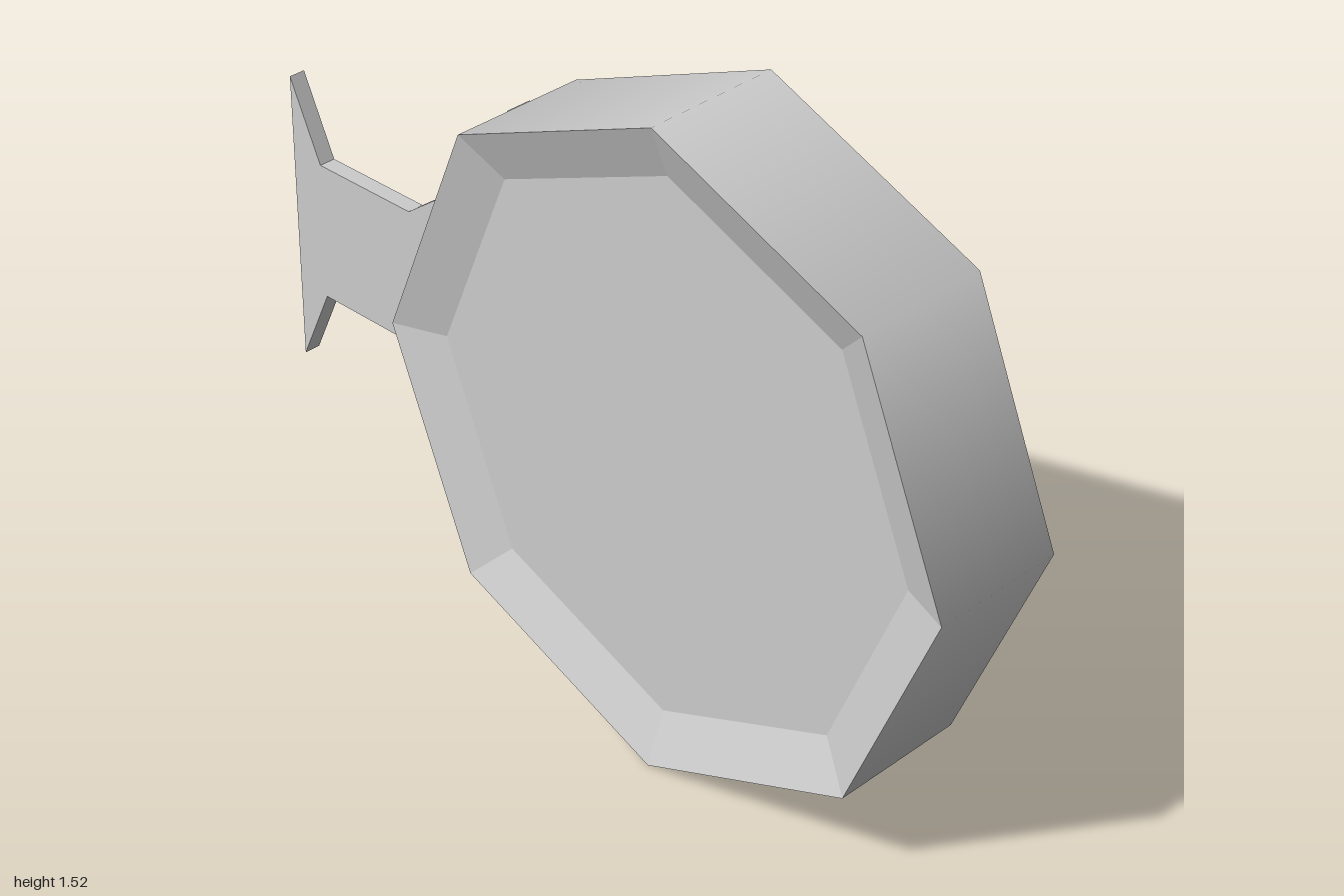
import * as THREE from 'three';

const R = 0.761, INNER = 0.64, HALF = 0.165, RECESS = 0.045;
const CX = 0.239, CY = 0.761;

export function createModel() {
  const group = new THREE.Group();
  const smooth = new THREE.MeshStandardMaterial({ color: 0xcccccc });
  const flat = new THREE.MeshStandardMaterial({ color: 0xcccccc, flatShading: true });

  const add = (name, geometry, material) => {
    const mesh = new THREE.Mesh(geometry, material);
    mesh.name = name;
    group.add(mesh);
    return mesh;
  };

  // Eight-sided lathe turned so that its axis runs along z
  const octagon = (profile) =>
    new THREE.LatheGeometry(profile.map(([r, z]) => new THREE.Vector2(r, z)), 8)
      .rotateX(Math.PI / 2)
      .translate(CX, CY, 0);

  // Drum: smooth wall, with a bevelled rim and sunken panel on both faces
  const floor = HALF - RECESS;
  add('drumWall', octagon([[R, -HALF], [R, HALF]]), smooth);
  add('frontRim', octagon([[R, HALF], [INNER, floor]]), flat);
  add('frontPanel', octagon([[INNER, floor], [0, floor]]), flat);
  add('backRim', octagon([[INNER, -floor], [R, -HALF]]), flat);
  add('backPanel', octagon([[0, -floor], [INNER, -floor]]), flat);

  // Flat mounting strips on the two wall sides that meet the handle
  const side = 2 * R * Math.sin(Math.PI / 8);
  const apothem = R * Math.cos(Math.PI / 8);
  for (const s of [1, -1]) {
    const angle = Math.PI - s * Math.PI / 8;
    const strip = add(s > 0 ? 'upperMountStrip' : 'lowerMountStrip',
      new THREE.BoxGeometry(0.004, side, 0.062), flat);
    strip.position.set(CX + apothem * Math.cos(angle), CY + apothem * Math.sin(angle), -0.004);
    strip.rotation.z = angle;
  }

  // Thin handle plate: upper outline mirrored about the drum's centre line
  const upper = [[-1, 0.353], [-0.913, 0.167], [-0.627, 0.167], [-0.38, 0.348]];
  const outline = [...upper, [R * -1 + CX, 0], ...upper.map(([x, y]) => [x, -y]).reverse()];
  const shape = new THREE.Shape(outline.map(([x, y]) => new THREE.Vector2(x, y + CY)));
  const plate = new THREE.ExtrudeGeometry(shape, { depth: 0.04, bevelEnabled: false });
  add('handle', plate.translate(0, 0, -0.024), flat);

  return group;
}
